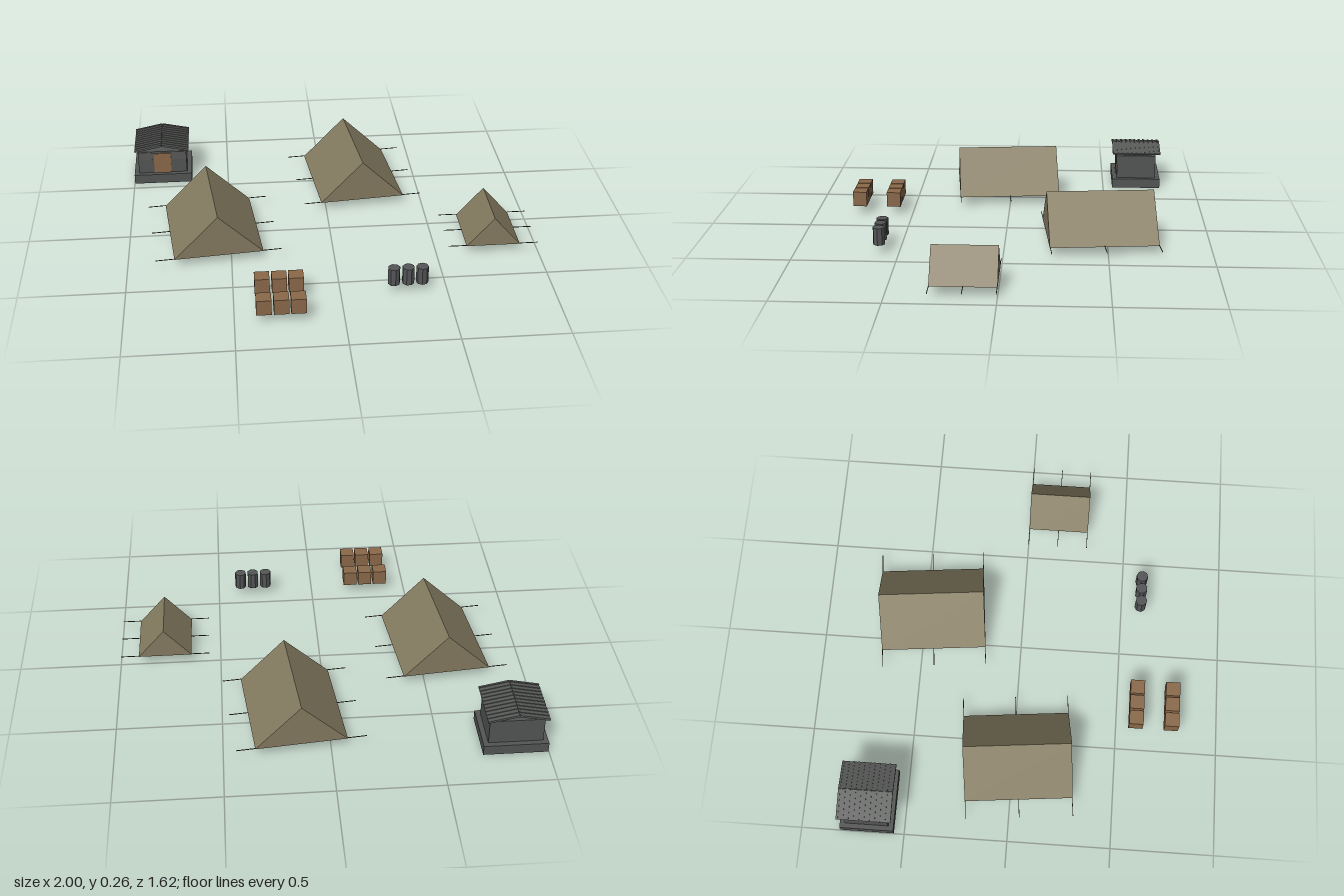
import * as THREE from 'three';

const mat = (name, color) => {
  const m = new THREE.MeshStandardMaterial({ color });
  m.name = name;
  return m;
};

export function createModel() {
  const canvas = mat('olive canvas', 0x857b61);
  const wood = mat('crate wood', 0x8a694a);
  const stone = mat('dark grey', 0x535554);
  const roofing = mat('roof grey', 0x575957);
  const metal = mat('barrel grey', 0x545557);
  const rope = mat('rope', 0x4b4639);
  barrelFlat(metal);

  const model = new THREE.Group();
  model.name = 'camp';
  const GROUND = 0.045;

  const add = (parent, name, geometry, material, x, y, z) => {
    const mesh = new THREE.Mesh(geometry, material);
    mesh.name = name;
    mesh.position.set(x, y, z);
    parent.add(mesh);
    return mesh;
  };
  const box = (parent, name, material, w, h, d, x, y, z) =>
    add(parent, name, new THREE.BoxGeometry(w, h, d), material, x, y, z);
  const group = (name, x, y, z, turn = 0) => {
    const g = new THREE.Group();
    g.name = name;
    g.position.set(x, y, z);
    g.rotation.y = turn;
    model.add(g);
    return g;
  };

  // Ridge tents: a closed prism with three guy ropes on each side
  const tent = (x, z, width, height, length, turn) => {
    const g = group('tent', x, GROUND, z, turn);
    const gable = new THREE.Shape([
      new THREE.Vector2(-width / 2, 0),
      new THREE.Vector2(width / 2, 0),
      new THREE.Vector2(0, height),
    ]);
    const prism = new THREE.ExtrudeGeometry(gable, { depth: length, bevelEnabled: false });
    add(g, 'tentCanvas', prism, canvas, 0, 0, -length / 2);
    for (const side of [-1, 1]) {
      for (const end of [-0.5, 0, 0.5]) {
        box(g, 'guyRope', rope, 0.09, 0.003, 0.003,
          side * (width / 2 + 0.044), 0.003, end * (length - 0.003));
      }
    }
  };
  tent(-0.585, 0.022, 0.432, 0.212, 0.524, 0.1);
  tent(0.163, -0.461, 0.432, 0.212, 0.524, 0.1);
  tent(0.777, 0.152, 0.263, 0.149, 0.305, 0);

  // Two rows of crates
  const crates = group('crates', 0, GROUND, 0);
  for (const z of [0.595, 0.77]) {
    for (const x of [-0.366, -0.286, -0.208]) {
      box(crates, 'crate', wood, 0.07, 0.076, 0.07, x, 0.038, z);
    }
  }

  // Three eight-sided barrels
  const barrels = group('barrels', 0, GROUND, 0.594);
  [0.249, 0.316, 0.382].forEach((x, i) => {
    const b = add(barrels, 'barrel', new THREE.CylinderGeometry(0.029, 0.029, 0.085, 8),
      metal, x, 0.0425, 0);
    b.rotation.y = 0.15 + i * 0.25;
  });

  // Hut on a plinth
  const hut = group('hut', -0.846, 0, -0.68);
  box(hut, 'plinth', stone, 0.304, 0.05, 0.26, 0, 0.025, 0);
  box(hut, 'walls', stone, 0.256, 0.126, 0.21, 0, 0.112, 0);
  box(hut, 'door', wood, 0.09, 0.115, 0.008, 0, 0.107, 0.106);
  for (const side of [-1, 1]) {
    box(hut, 'shutter', roofing, 0.072, 0.046, 0.006, side * 0.09, 0.15, 0.106);
  }

  // Ribbed roof, raised clear of the walls
  const run = 0.142, rise = 0.03;
  const slope = Math.atan2(rise, run);
  for (const side of [-1, 1]) {
    const half = new THREE.Group();
    half.name = 'roofHalf';
    half.position.set(side * run / 2, 0.204, 0);
    half.rotation.z = -side * slope;
    hut.add(half);
    box(half, 'roofSheet', roofing, Math.hypot(run, rise), 0.007, 0.26, 0, 0, 0);
    for (let i = 0; i < 11; i++) {
      box(half, 'roofRib', roofing, Math.hypot(run, rise), 0.004, 0.01,
        0, 0.005, -0.125 + i * 0.025);
    }
  }
  return model;
}

// Faceted shading for the barrels
function barrelFlat(material) {
  material.flatShading = true;
}
